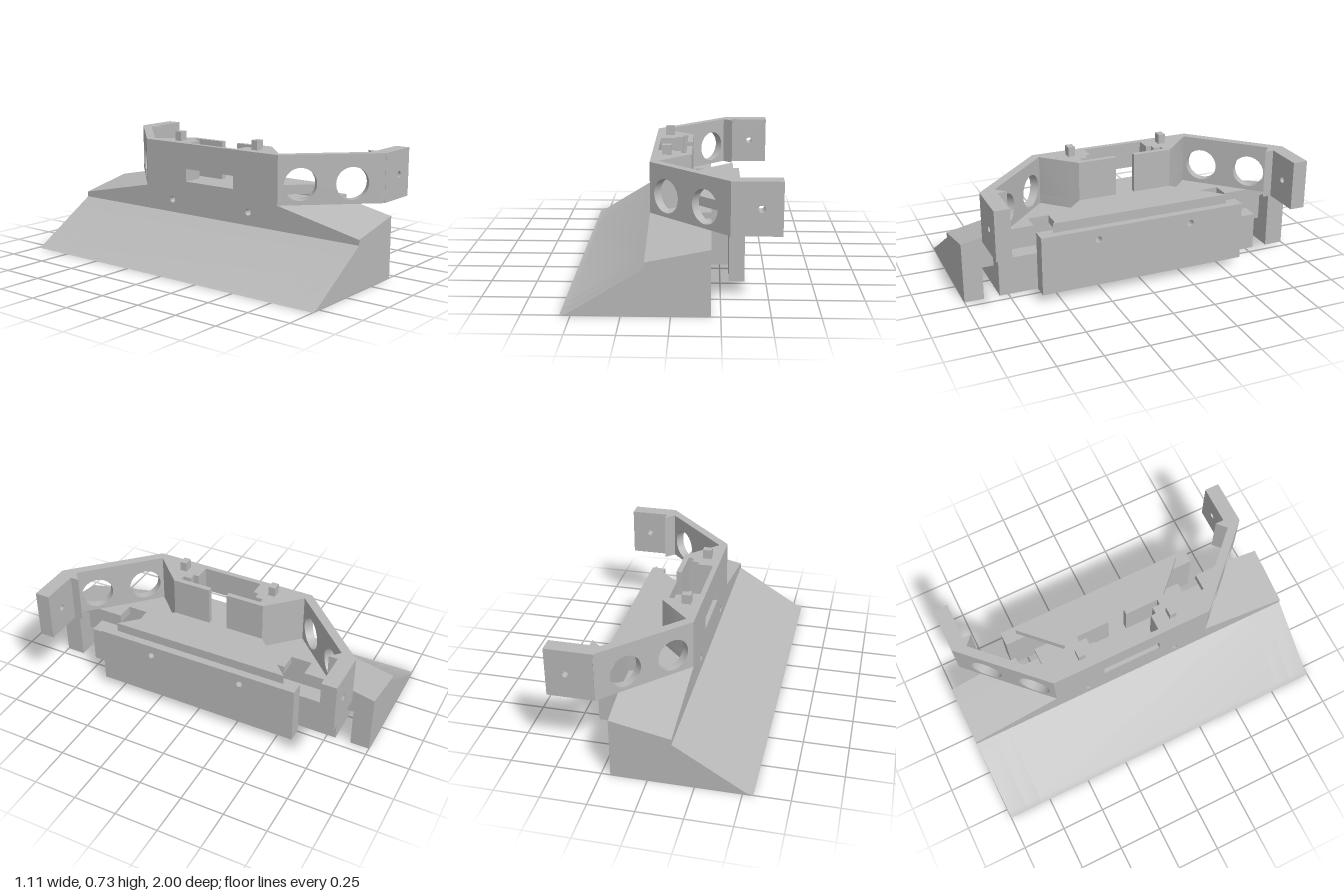
import * as THREE from 'three';
import { toCreasedNormals } from 'three/addons/utils/BufferGeometryUtils.js';

const grey = new THREE.MeshStandardMaterial({ color: 0xb8b8b8 });
grey.name = 'grey plastic';

const toShape = (pts) => new THREE.Shape(pts.map(([a, b]) => new THREE.Vector2(a, b)));
const rect = (a0, b0, a1, b1) => toShape([[a0, b0], [a1, b0], [a1, b1], [a0, b1]]);

function drill(shape, a, b, r) {
  shape.holes.push(new THREE.Path().absarc(a, b, r, 0, Math.PI * 2, true));
  return shape;
}

const extrude = (shape, depth) =>
  new THREE.ExtrudeGeometry(shape, { depth, bevelEnabled: false, curveSegments: 24 });

// plan outline in (x, z), raised between two heights; the top may be a rule of (x, z)
function prism(pts, bottom, top) {
  const g = extrude(toShape(pts.map(([x, z]) => [x, -z])), 1).rotateX(-Math.PI / 2);
  const p = g.attributes.position;
  for (let i = 0; i < p.count; i++) {
    const upper = p.getY(i) > 0.5;
    const h = typeof top === 'function' ? top(p.getX(i), p.getZ(i)) : top;
    p.setY(i, upper ? h : bottom);
  }
  g.computeVertexNormals();
  return g;
}

// side profile in (x, y), run along z
const alongZ = (shape, z0, z1) => extrude(shape, z1 - z0).translate(0, 0, z0);
// symmetric profile in (z, y), run along x
const alongX = (shape, x0, x1) => extrude(shape, x1 - x0).rotateY(Math.PI / 2).translate(x0, 0, 0);

// top of the body: flat in the middle, falling away beyond the diagonal arms
const roofY = (x, z) => 0.39 - 0.21 * Math.max(0, Math.abs(z) - 0.48 - (x + 0.13) * 0.97);

export function createModel() {
  const model = new THREE.Group();
  const add = (parent, name, geometry) => {
    const mesh = new THREE.Mesh(toCreasedNormals(geometry, 0.5), grey);
    mesh.name = name;
    parent.add(mesh);
    return mesh;
  };
  const group = (name) => {
    const g = new THREE.Group();
    g.name = name;
    model.add(g);
    return g;
  };

  const body = group('wedgeBody');
  const mount = group('upperMount');
  const arms = group('sideArms');
  const hitch = group('frontHitch');

  // wedge: middle run with the low inner block
  add(body, 'wedgeMiddle', alongZ(toShape([
    [-0.556, 0], [0.2, 0], [0.2, 0.22], [0.1, 0.22], [0.1, 0.25], [-0.13, 0.25], [-0.52, 0.008],
  ]), -0.8, 0.8));

  // core behind the cavity, with the two screw tunnels
  const screwHoles = (shape) => drill(drill(shape, 0.28, 0.325, 0.019), -0.28, 0.325, 0.019);
  add(body, 'bodyCore', alongX(screwHoles(rect(-0.48, 0.25, 0.48, 0.39)), -0.13, 0.1));
  add(body, 'roofMiddle', prism([[0.1, -0.47], [0.2, -0.47], [0.2, 0.47], [0.1, 0.47]], 0.345, 0.39));

  for (const s of [1, -1]) {
    const side = (pts) => pts.map(([x, z]) => [x, z * s]);
    const run = (shape, z0, z1) => (s > 0 ? alongZ(shape, z0, z1) : alongZ(shape, -z1, -z0));

    // wedge: undercut slot and solid end
    add(body, 'wedgeSlot', run(toShape([
      [-0.556, 0], [-0.41, 0], [-0.41, 0.02], [-0.24, 0.1], [-0.24, 0.14], [0.1, 0.14],
      [0.1, 0.25], [-0.13, 0.25], [-0.52, 0.008],
    ]), 0.8, 0.89));
    add(body, 'wedgeEnd', run(toShape([
      [-0.556, 0], [0.2, 0], [0.2, 0.25], [-0.13, 0.25], [-0.52, 0.008],
    ]), 0.89, 1));

    // sloping shoulders and the roof over the front cavity
    add(body, 'shoulderFlat', prism(side([[-0.13, 0.48], [0.1, 0.48], [0.1, 0.703]]), 0.25, 0.39));
    add(body, 'shoulderSlope',
      prism(side([[-0.13, 0.48], [0.1, 0.703], [0.1, 1], [-0.13, 1]]), 0.25, roofY));
    add(body, 'roofFlat',
      prism(side([[0.1, 0.59], [0.2, 0.59], [0.2, 0.8], [0.1, 0.703]]), 0.34, 0.39));
    add(body, 'roofSlope',
      prism(side([[0.1, 0.703], [0.2, 0.8], [0.2, 0.89], [0.1, 0.89]]), 0.34, roofY));
    add(body, 'endPost',
      prism(side([[0.1, 0.89], [0.2, 0.89], [0.2, 1], [0.1, 1]]), 0.25, roofY));

    // half of the mount, stepped around the pocket
    add(mount, 'mountHalf', prism(side([
      [-0.13, 0.175], [-0.13, 0.48], [-0.085, 0.455], [0.09, 0.28], [0.09, 0.055], [0.06, 0.055],
      [0.06, 0.25], [0.03, 0.25], [0.03, 0.205], [-0.01, 0.205], [-0.01, 0.175],
    ]), 0.445, 0.67));
    add(mount, 'peg',
      new THREE.BoxGeometry(0.052, 0.06, 0.04).translate(-0.048, 0.695, 0.28 * s));

    // diagonal arm with two round openings
    const panel = rect(0, 0, 0.6, 0.28);
    drill(panel, 0.127, 0.115, 0.092);
    drill(panel, 0.417, 0.115, 0.092);
    const inset = s > 0 ? 0.05 * Math.SQRT1_2 : 0;
    add(arms, 'diagonalArm', extrude(panel, 0.05)
      .rotateY(-s * Math.PI / 4)
      .translate(-0.13 + inset, 0.39, 0.48 * s - inset));

    // drilled tab at the arm's end and its small rib
    add(arms, 'armTab', run(drill(rect(0.295, 0.39, 0.556, 0.67), 0.447, 0.53, 0.018), 0.82, 0.905));
    add(arms, 'armRib',
      prism(side([[0.28, 0.82], [0.335, 0.77], [0.335, 0.83], [0.3, 0.84]]), 0.39, 0.67));
  }

  // mount floor and the wall above the rear window
  add(mount, 'mountFloor', prism([
    [-0.13, -0.48], [-0.085, -0.455], [0.09, -0.28], [0.09, 0.28], [-0.085, 0.455], [-0.13, 0.48],
  ], 0.39, 0.445));
  add(mount, 'windowLintel',
    new THREE.BoxGeometry(0.03, 0.15, 0.35).translate(-0.115, 0.595, 0));

  // front plate, its link to the body and the dovetail above
  add(hitch, 'frontPlate', alongX(screwHoles(rect(-0.607, 0.05, 0.607, 0.39)), 0.295, 0.378));
  add(hitch, 'plateLink', alongX(screwHoles(rect(-0.33, 0.05, 0.33, 0.39)), 0.2, 0.295));
  add(hitch, 'dovetail',
    prism([[0.09, -0.28], [0.335, -0.525], [0.335, 0.525], [0.09, 0.28]], 0.39, 0.445));

  return model;
}
